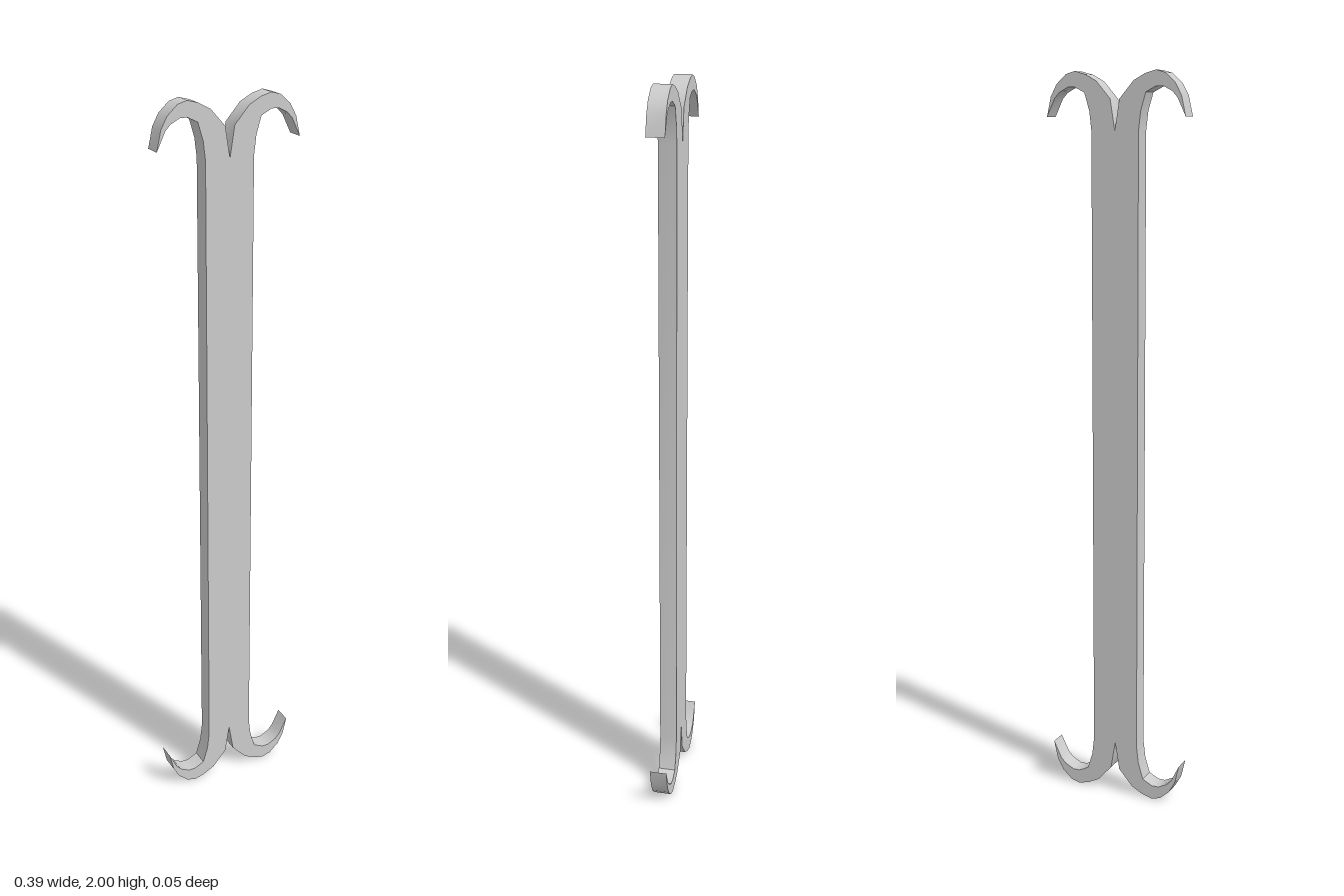
import * as THREE from 'three';
import { toCreasedNormals } from 'three/addons/utils/BufferGeometryUtils.js';

const DEPTH = 0.048;

// One quarter of the outline: from the notch, over the hook, back to the shaft side.
const quarter = [
  [0, 1.85], [0.013, 1.93], [0.053, 1.975], [0.085, 1.992], [0.115, 2.0], [0.14, 1.993],
  [0.168, 1.968], [0.185, 1.937], [0.197, 1.885],
  [0.174, 1.932], [0.16, 1.947], [0.135, 1.96], [0.115, 1.96], [0.087, 1.946],
  [0.073, 1.9], [0.067, 1.85],
];

export function createModel() {
  const group = new THREE.Group();
  group.name = 'hookedBar';

  // Mirror the quarter to get the full outline, clockwise from the top notch.
  const right = [...quarter, ...quarter.map(([x, y]) => [x, 2 - y]).reverse()];
  const left = right.slice(1, -1).map(([x, y]) => [-x, y]).reverse();
  const shape = new THREE.Shape([...right, ...left].map(([x, y]) => new THREE.Vector2(x, y)));

  // Flat bar with smooth hook rims and sharp cap edges.
  const extruded = new THREE.ExtrudeGeometry(shape, { depth: DEPTH, bevelEnabled: false });
  extruded.translate(0, 0, -DEPTH / 2);
  const bar = new THREE.Mesh(
    toCreasedNormals(extruded, 0.6),
    new THREE.MeshStandardMaterial({ color: 0xcccccc }),
  );
  bar.name = 'barWithHooks';
  group.add(bar);
  return group;
}
